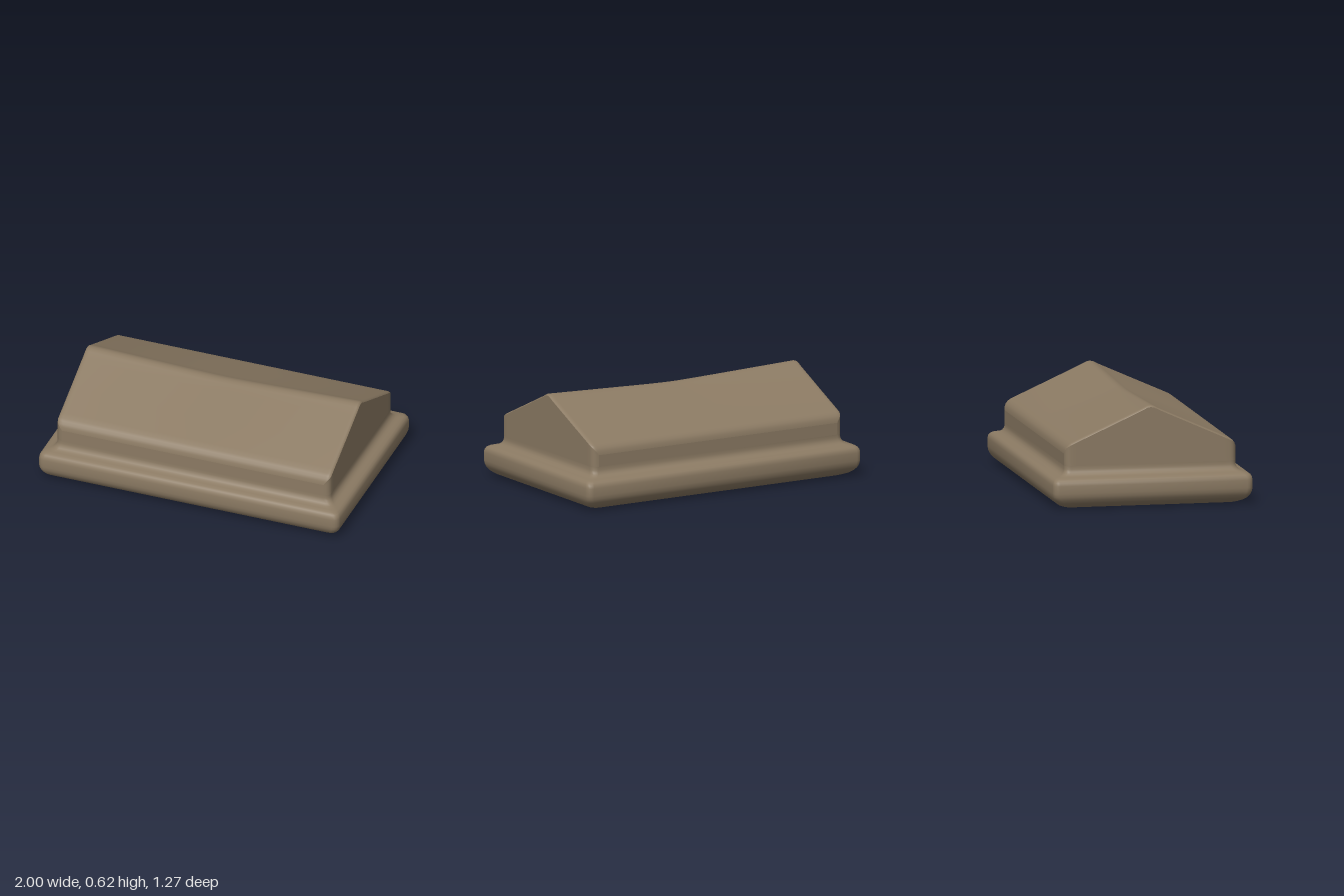
import * as THREE from 'three';
import { toCreasedNormals } from 'three/addons/utils/BufferGeometryUtils.js';

const BODY_X = 0.91, BODY_Z = 0.545, CORNER = 0.04, WALL_Y = 0.26, EAVE_Y = 0.335;

// Quad grid from point(row, col); flip reverses the facing.
function grid(point, rows, cols, flip = false) {
  const pos = [];
  for (let r = 0; r < rows - 1; r++) {
    for (let c = 0; c < cols - 1; c++) {
      const q = [point(r, c), point(r + 1, c), point(r + 1, c + 1), point(r, c + 1)];
      if (flip) q.reverse();
      for (const i of [0, 1, 2, 0, 2, 3]) pos.push(...q[i]);
    }
  }
  const geo = new THREE.BufferGeometry();
  geo.setAttribute('position', new THREE.Float32BufferAttribute(pos, 3));
  return toCreasedNormals(geo, 0.75);
}

// Half of the gable section as [z, y], ridge to eave
const cornerZ = (deg) => BODY_Z - CORNER + CORNER * Math.sin(THREE.MathUtils.degToRad(deg));
const half = [
  [0, 0.625], [0.02, 0.622], [0.04, 0.612], [0.06, 0.602], [0.1, 0.584], [0.3, 0.494], [0.47, 0.418],
  [cornerZ(0), 0.402], [cornerZ(22.5), 0.391], [cornerZ(45), 0.376], [cornerZ(67.5), 0.358], [BODY_Z, EAVE_Y],
];
const section = [...half.slice(1).reverse().map(([z, y]) => [-z, y]), ...half];

// Half length of the body at depth z, with rounded corners
function halfLength(z) {
  const d = Math.max(0, Math.abs(z) - (BODY_Z - CORNER));
  return BODY_X - CORNER + Math.sqrt(Math.max(0, CORNER * CORNER - d * d));
}

// Roof height: the ridge sags gently towards the middle
function roofHeight(x, z, y) {
  const bend = Math.min(1, Math.hypot(x, 0.1) / BODY_X);
  return y - 0.033 * (1 - bend) * Math.max(0, 1 - Math.abs(z) / 0.5);
}

// Softened gable edge, fading out at the eaves
const edgeDrop = (z) => 0.01 * Math.min(1, (BODY_Z - Math.abs(z)) / 0.03);

function roofGeometry() {
  const insets = [0, 0.004, 0.014, 0.03];
  const inner = [-0.6, -0.3, -0.15, -0.07, 0, 0.07, 0.15, 0.3, 0.6];
  const cols = insets.length * 2 + inner.length;
  return grid((r, c) => {
    const [z, y] = section[r];
    const w = halfLength(z);
    const k = Math.min(c, cols - 1 - c);
    const x = k < insets.length ? (c === k ? -1 : 1) * (w - insets[k]) : inner[c - insets.length];
    const drop = edgeDrop(z) * [1, 0.45, 0][Math.min(k, 2)];
    return [x, roofHeight(x, z, y) - drop, z];
  }, section.length, cols);
}

// End wall from the base up to the gable edge
function gableGeometry(side) {
  return grid((r, c) => {
    const [z, y] = section[c];
    const top = y - edgeDrop(z);
    return [side * halfLength(z), [WALL_Y, 0.285, top - 0.03, top][r], z];
  }, 4, section.length, side < 0);
}

// Long wall below the eave
function longWallGeometry(side) {
  const w = BODY_X - CORNER;
  return grid((r, c) => [c ? w : -w, r ? EAVE_Y : WALL_Y, side * BODY_Z], 2, 2, side > 0);
}

// Moulded base: rounded rectangles stacked along a profile of [half length, y]
function baseGeometry() {
  const profile = [
    [0.905, 0], [0.925, 0.007], [0.95, 0.018], [0.972, 0.034], [0.988, 0.055], [0.997, 0.078], [1, 0.1],
    [1, 0.148], [0.997, 0.166], [0.989, 0.18], [0.976, 0.189], [0.955, 0.195], [0.937, 0.2],
    [0.923, 0.21], [0.914, 0.224], [0.91, 0.24], [BODY_X, WALL_Y],
  ];
  const ring = (hx) => {
    const pts = [];
    const cx = hx - CORNER, cz = hx - (BODY_X - BODY_Z) - CORNER;
    [[1, 1], [-1, 1], [-1, -1], [1, -1]].forEach(([sx, sz], q) => {
      for (let i = 0; i <= 4; i++) {
        const a = (q + i / 4) * Math.PI / 2;
        pts.push([sx * cx + CORNER * Math.cos(a), sz * cz + CORNER * Math.sin(a)]);
      }
    });
    return [...pts, pts[0]];
  };
  const rings = profile.map(([hx]) => ring(hx));
  return grid((r, c) => [rings[r][c][0], profile[r][1], rings[r][c][1]], profile.length, rings[0].length);
}

export function createModel() {
  const clay = new THREE.MeshStandardMaterial({ color: 0x8b7a63, side: THREE.DoubleSide });
  clay.name = 'brown clay';
  const group = new THREE.Group();
  group.name = 'gabled cover';
  const add = (name, geometry) => {
    const mesh = new THREE.Mesh(geometry, clay);
    mesh.name = name;
    group.add(mesh);
  };
  add('mouldedBase', baseGeometry());
  add('roof', roofGeometry());
  add('leftGable', gableGeometry(1));
  add('rightGable', gableGeometry(-1));
  add('frontWall', longWallGeometry(1));
  add('backWall', longWallGeometry(-1));
  return group;
}
